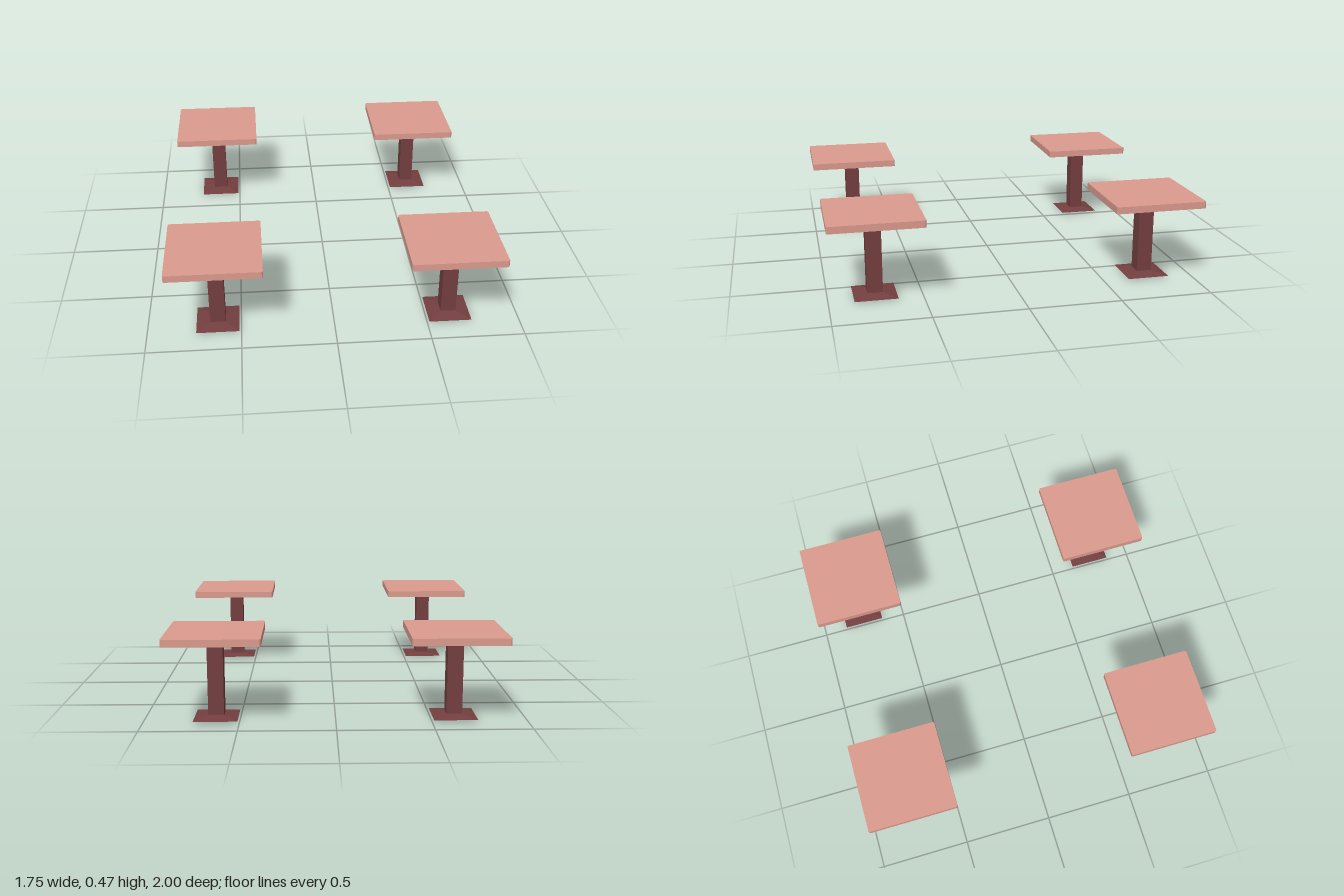
import * as THREE from 'three';

const wood = new THREE.MeshStandardMaterial({ color: 0xdc9b8f, flatShading: true });
const metal = new THREE.MeshStandardMaterial({ color: 0x743f40, flatShading: true });

// Square frustum with given top and bottom widths, spanning y0 to y1
function squareFrustum(topWidth, bottomWidth, y0, y1, openEnded = false) {
  const g = new THREE.CylinderGeometry(topWidth * Math.SQRT1_2, bottomWidth * Math.SQRT1_2, y1 - y0, 4, 1, openEnded);
  return g.rotateY(Math.PI / 4).translate(0, (y0 + y1) / 2, 0);
}

// Square slab with slightly clipped corners
function slab(width, y0, y1, clip) {
  const h = width / 2, k = h - clip;
  const outline = [[h, -k], [h, k], [k, h], [-k, h], [-h, k], [-h, -k], [-k, -h], [k, -h]];
  const shape = new THREE.Shape(outline.map(([x, y]) => new THREE.Vector2(x, y)));
  return new THREE.ExtrudeGeometry(shape, { depth: y1 - y0, bevelEnabled: false })
    .rotateX(-Math.PI / 2).translate(0, y0, 0);
}

function part(name, geometry, material) {
  const mesh = new THREE.Mesh(geometry, material);
  mesh.name = name;
  return mesh;
}

function createTable() {
  const table = new THREE.Group();
  table.add(
    part('tabletop', slab(0.498, 0.432, 0.47, 0.006), wood),
    part('post', squareFrustum(0.083, 0.083, 0.015, 0.433), metal),
    // Foot slopes up to the post and tapers in slightly underneath
    part('footTop', squareFrustum(0.083, 0.23, 0.009, 0.023, true), metal),
    part('footUnderside', squareFrustum(0.23, 0.12, 0, 0.009), metal),
  );
  return table;
}

export function createModel() {
  const model = new THREE.Group();
  model.name = 'tableSet';
  // Four identical tables, one at each corner
  for (const [zName, z] of [['front', 0.751], ['back', -0.751]]) {
    for (const [xName, x] of [['Left', 0.625], ['Right', -0.625]]) {
      const table = createTable();
      table.name = `${zName}${xName}Table`;
      table.position.set(x, 0, z);
      model.add(table);
    }
  }
  return model;
}
